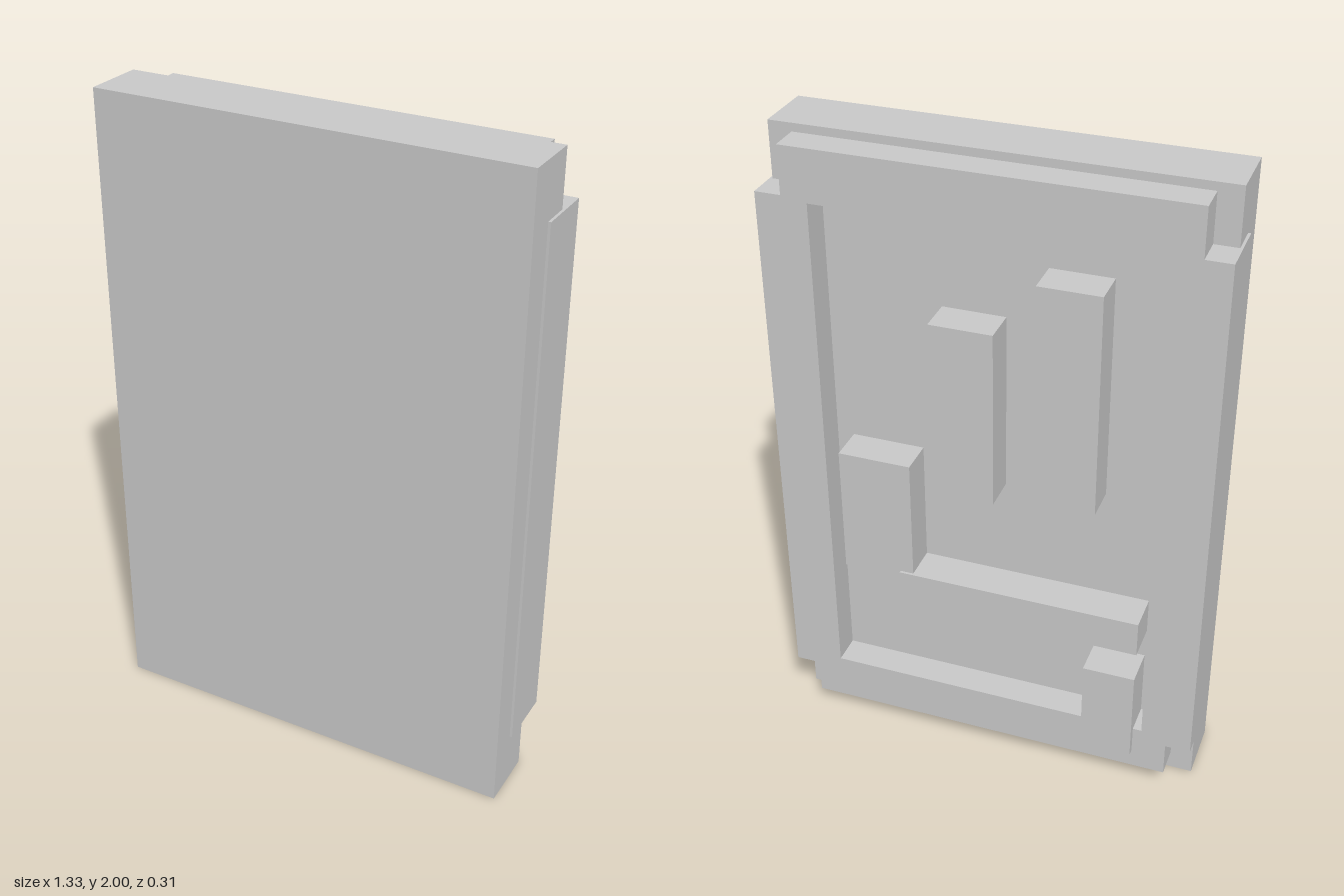
import * as THREE from 'three';

const material = new THREE.MeshStandardMaterial({ color: 0xcccccc, flatShading: true });

// Box given by its limits along each axis
function block(name, [x0, x1], [y0, y1], [z0, z1]) {
  const mesh = new THREE.Mesh(new THREE.BoxGeometry(x1 - x0, y1 - y0, z1 - z0), material);
  mesh.position.set((x0 + x1) / 2, (y0 + y1) / 2, (z0 + z1) / 2);
  mesh.name = name;
  return mesh;
}

function rectangle(path, x, y0, y1) {
  path.moveTo(-x, y0);
  path.lineTo(x, y0);
  path.lineTo(x, y1);
  path.lineTo(-x, y1);
  path.closePath();
  return path;
}

export function createModel() {
  const group = new THREE.Group();
  group.name = 'panel';
  const floor = -0.035; // back of the slab, floor of the recess
  const rim = -0.13;    // back of the frame

  // Front slab
  group.add(block('frontSlab', [-0.655, 0.655], [0, 2], [floor, 0.155]));

  // Raised back frame around the recess
  const outline = rectangle(new THREE.Shape(), 0.585, 0.06, 1.975);
  outline.holes.push(rectangle(new THREE.Path(), 0.507, 0.212, 1.817));
  const frame = new THREE.Mesh(
    new THREE.ExtrudeGeometry(outline, { depth: floor - rim, bevelEnabled: false }), material);
  frame.position.z = rim;
  frame.name = 'backFrame';
  group.add(frame);

  // Side rails, wrapping slightly over the slab edges
  group.add(block('leftRail', [0.585, 0.663], [0.172, 1.83], [rim, 0.06]));
  group.add(block('rightRail', [-0.663, -0.585], [0.172, 1.83], [rim, 0.06]));

  // Upright blocks standing in the recess
  const uprights = [
    [[-0.335, -0.15], [1.0, 1.69]],
    [[-0.03, 0.16], [0.965, 1.52]],
    [[0.23, 0.455], [0.623, 1.035]],
  ];
  uprights.forEach(([x, y], i) => group.add(block(`uprightBlock${i + 1}`, x, y, [-0.147, floor])));

  // Horizontal ledge and the small block below it
  group.add(block('ledge', [-0.482, 0.272], [0.53, 0.645], [-0.155, floor]));
  group.add(block('lowerBlock', [-0.48, -0.32], [0.122, 0.432], [-0.155, floor]));

  return group;
}
